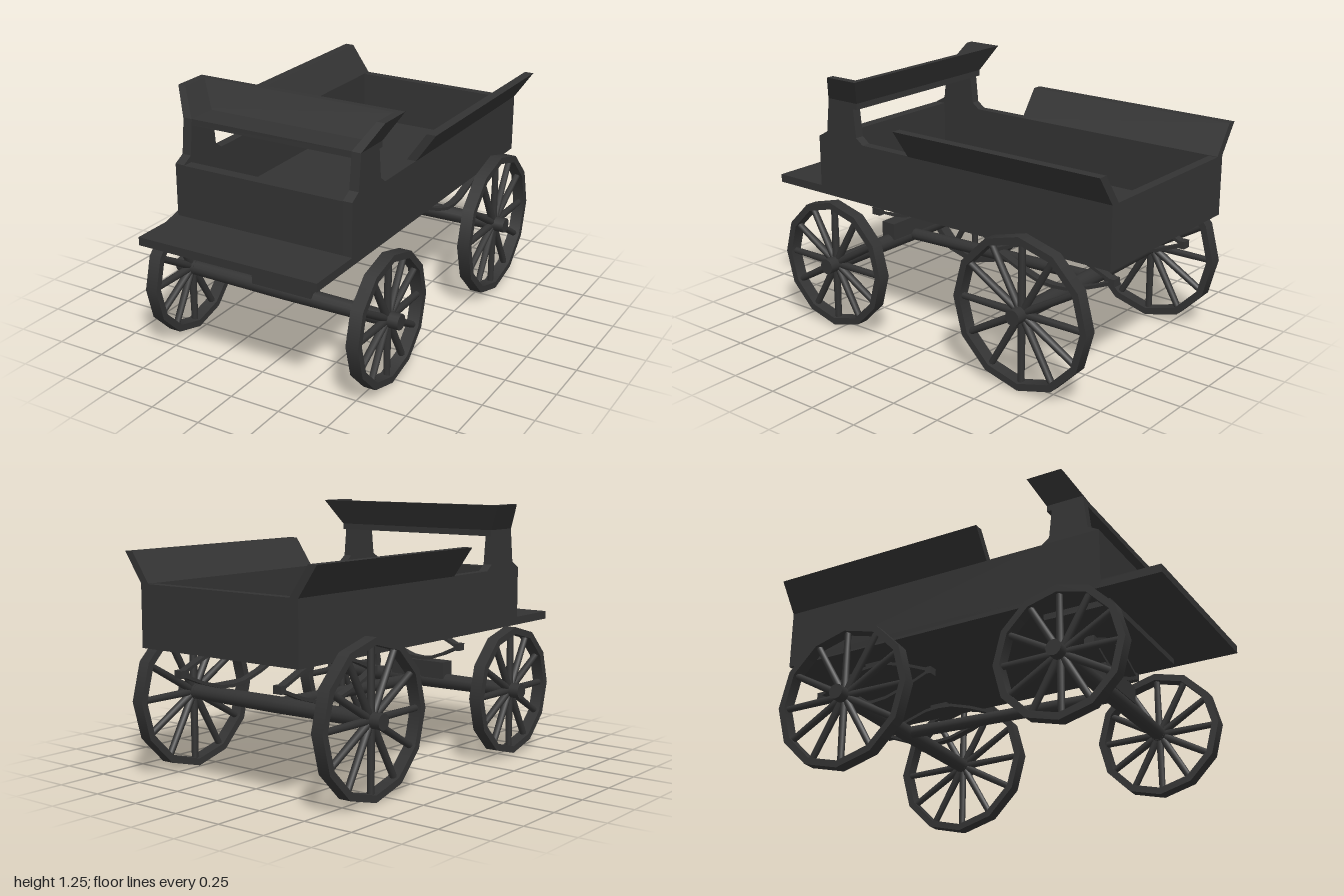
import * as THREE from 'three';

const charcoal = new THREE.MeshStandardMaterial({ color: 0x333333 });
charcoal.name = 'charcoal';

function add(parent, name, geometry, x = 0, y = 0, z = 0) {
  const mesh = new THREE.Mesh(geometry, charcoal);
  mesh.name = name;
  mesh.position.set(x, y, z);
  parent.add(mesh);
  return mesh;
}

// box given by its limits on each axis
function box(parent, name, x0, x1, y0, y1, z0, z1) {
  return add(parent, name, new THREE.BoxGeometry(x1 - x0, y1 - y0, z1 - z0),
    (x0 + x1) / 2, (y0 + y1) / 2, (z0 + z1) / 2);
}

// leaning board: lower and upper rectangles as [x0, x1, z0, z1, y]
function board(parent, name, low, high) {
  const g = new THREE.BoxGeometry(1, 1, 1);
  const p = g.attributes.position;
  for (let i = 0; i < p.count; i++) {
    const r = p.getY(i) > 0 ? high : low;
    p.setXYZ(i, p.getX(i) > 0 ? r[1] : r[0], r[4], p.getZ(i) > 0 ? r[3] : r[2]);
  }
  g.computeVertexNormals();
  return add(parent, name, g);
}

// round bar between two points
function bar(parent, name, a, b, ra, rb, sides = 12) {
  const from = new THREE.Vector3(...a), to = new THREE.Vector3(...b);
  const dir = to.clone().sub(from);
  const mesh = add(parent, name, new THREE.CylinderGeometry(rb, ra, dir.length(), sides));
  mesh.position.copy(from).add(to).multiplyScalar(0.5);
  mesh.quaternion.setFromUnitVectors(new THREE.Vector3(0, 1, 0), dir.normalize());
  return mesh;
}

// twelve-sided spoked wheel, axis along x
function wheel(parent, name, x, y, z, R) {
  const g = new THREE.Group();
  g.name = name;
  g.position.set(x, y, z);
  const r = R - 0.034, w = 0.031;
  const corners = [[R, -w], [R, w], [r, w], [r, -w], [R, -w]];
  // doubled points keep the rim edges sharp
  const profile = corners.flatMap((c, i) =>
    (i % 4 ? [c, c] : [c]).map(q => new THREE.Vector2(...q)));
  add(g, 'rim', new THREE.LatheGeometry(profile, 12).rotateZ(-Math.PI / 2));
  for (let i = 0; i < 12; i++) {
    const a = i * Math.PI / 6, c = Math.cos(a), s = Math.sin(a);
    bar(g, 'spoke', [0, 0.02 * c, 0.02 * s], [0, (r + 0.008) * c, (r + 0.008) * s], 0.019, 0.016, 8);
  }
  add(g, 'hub', new THREE.CylinderGeometry(0.038, 0.038, 0.1, 12).rotateZ(Math.PI / 2),
    Math.sign(x) * 0.02);
  parent.add(g);
}

// pair of bowed leaves joined at the ends, lying in the xy plane
function spring(name, halfLength, rise, width) {
  const g = new THREE.Group();
  g.name = name;
  const t = 0.016, L = halfLength - 0.02;
  const top = [[-1, 0.13], [-0.62, 0.6], [-0.25, 0.94], [0, 1], [0.25, 0.94], [0.62, 0.6], [1, 0.13]];
  for (const s of [1, -1]) {
    const outer = top.map(([u, v]) => new THREE.Vector2(u * L, s * v * rise));
    const inner = top.map(([u, v]) => new THREE.Vector2(u * L, s * (v * rise - t))).reverse();
    const geo = new THREE.ExtrudeGeometry(new THREE.Shape([...outer, ...inner]),
      { depth: width, bevelEnabled: false });
    add(g, s > 0 ? 'upperLeaf' : 'lowerLeaf', geo, 0, 0, -width / 2);
    add(g, 'springEnd', new THREE.BoxGeometry(0.03, 0.036, width + 0.006), s * (halfLength - 0.015));
  }
  return g;
}

export function createModel() {
  const wagon = new THREE.Group();
  wagon.name = 'wagon';

  // body
  const body = new THREE.Group();
  body.name = 'body';
  body.position.x = -0.01;
  wagon.add(body);
  const W = 0.465, I = 0.418;
  box(body, 'floor', -W, W, 0.64, 0.68, -0.99, 1);
  box(body, 'frontPanel', -I, I, 0.64, 0.933, 0.655, 0.71);
  box(body, 'tailboard', -I, I, 0.64, 0.933, -1, -0.955);

  // side walls with the seat risers in one piece
  const side = new THREE.Shape([
    [-1, 0.64], [0.71, 0.64], [0.71, 0.935], [0.655, 0.965], [0.635, 1.135], [0.45, 1.135],
    [0.45, 1.105], [0.475, 1.105], [0.46, 0.965], [0.42, 0.935], [-1, 0.935],
  ].map(p => new THREE.Vector2(...p)));
  const sideGeo = new THREE.ExtrudeGeometry(side, { depth: W - I, bevelEnabled: false })
    .rotateY(-Math.PI / 2);
  add(body, 'leftWall', sideGeo, W);
  add(body, 'rightWall', sideGeo, -I);

  // seat with flared back and ends
  box(body, 'seat', -I, I, 1.105, 1.135, 0.45, 0.635);
  board(body, 'seatBack', [-W, W, 0.45, 0.482, 1.135], [-0.54, 0.54, 0.385, 0.417, 1.26]);
  for (const s of [1, -1]) {
    const span = (a, b) => s > 0 ? [a, b] : [-b, -a];
    board(body, 'seatEnd', [...span(I, W), 0.45, 0.637, 1.135], [...span(0.5, 0.54), 0.385, 0.565, 1.26]);
    board(body, 'flareBoard', [...span(I, W), -1, 0.13, 0.933], [...span(0.518, 0.565), -1, 0.13, 1.075]);
  }

  // running gear
  const gear = new THREE.Group();
  gear.name = 'runningGear';
  wagon.add(gear);
  const axles = [['front', 0.333, 0.54, 0.32], ['rear', 0.372, -0.6, 0.365]];
  for (const [name, y, z, R] of axles) {
    for (const s of [1, -1]) {
      bar(gear, name + 'Axle', [0, y, z], [s * 0.608, y, z], 0.041, 0.036);
      wheel(gear, name + (s > 0 ? 'Left' : 'Right') + 'Wheel', s * 0.54, y, z, R);
    }
  }
  bar(gear, 'reachPole', [0, 0.338, 0.54], [0, 0.375, -0.6], 0.03, 0.03);
  box(gear, 'axleBlock', -0.163, 0.163, 0.35, 0.437, 0.5, 0.58);
  box(gear, 'bolsterPlate', -0.365, 0.365, 0.61, 0.64, 0.37, 0.705);

  // springs: one across the front, two lengthwise at the rear
  const frontSpring = spring('frontSpring', 0.25, 0.087, 0.045);
  frontSpring.position.set(0, 0.522, 0.54);
  gear.add(frontSpring);
  for (const s of [1, -1]) {
    const rear = spring(s > 0 ? 'rearLeftSpring' : 'rearRightSpring', 0.335, 0.105, 0.04);
    rear.rotation.y = Math.PI / 2;
    rear.position.set(s * 0.298, 0.525, -0.6);
    gear.add(rear);
    box(gear, 'springPad', s * 0.298 - 0.02, s * 0.298 + 0.02, 0.615, 0.64, -0.65, -0.55);
  }
  return wagon;
}
